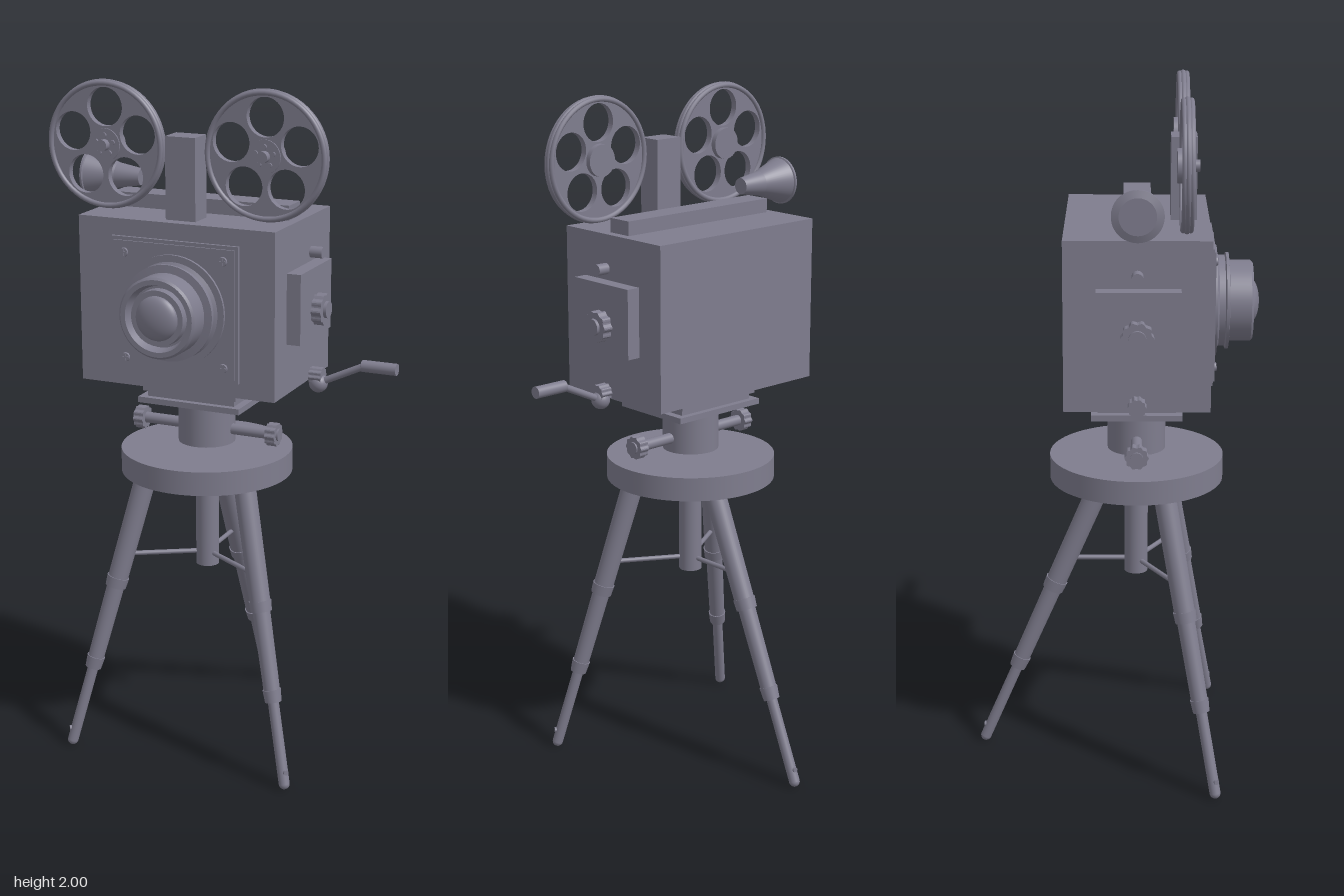
import * as THREE from 'three';

const material = new THREE.MeshStandardMaterial({ color: 0x7f7d8e });
const V = (x, y, z) => new THREE.Vector3(x, y, z);

function add(parent, name, geometry, x = 0, y = 0, z = 0) {
  const mesh = new THREE.Mesh(geometry, material);
  mesh.name = name;
  mesh.position.set(x, y, z);
  parent.add(mesh);
  return mesh;
}

const box = (parent, name, w, h, d, x, y, z) => add(parent, name, new THREE.BoxGeometry(w, h, d), x, y, z);

// Cylinder running from point a to point b
function rod(parent, name, a, b, ra, rb = ra, sides = 32) {
  const dir = b.clone().sub(a);
  const mesh = add(parent, name, new THREE.CylinderGeometry(rb, ra, dir.length(), sides));
  mesh.position.copy(a).add(b).multiplyScalar(0.5);
  mesh.quaternion.setFromUnitVectors(V(0, 1, 0), dir.normalize());
  return mesh;
}

// Turned part with crisp steps: each pair of [radius, height] points becomes its own band
function turned(parent, name, points) {
  const group = new THREE.Group();
  group.name = name;
  for (let i = 0; i < points.length - 1; i++) {
    const pair = [points[i], points[i + 1]].map(p => new THREE.Vector2(...p));
    add(group, name + 'Band', new THREE.LatheGeometry(pair, 48));
  }
  parent.add(group);
  return group;
}

// Fluted grip, axis along x
function flutedKnob(parent, name, x, y, z, radius, width) {
  const shape = new THREE.Shape();
  for (let i = 0; i < 64; i++) {
    const a = i / 64 * Math.PI * 2;
    const r = radius * (0.94 + 0.06 * Math.cos(a * 10));
    shape[i ? 'lineTo' : 'moveTo'](r * Math.cos(a), r * Math.sin(a));
  }
  const geometry = new THREE.ExtrudeGeometry(shape, { depth: width, bevelEnabled: false });
  geometry.translate(0, 0, -width / 2).rotateY(Math.PI / 2);
  return add(parent, name, geometry, x, y, z);
}

// Film reel facing z: pierced disc, ridged rim, hub and bolts
function makeReel(x) {
  const reel = new THREE.Group();
  reel.name = 'filmReel';
  reel.position.set(x, 1.82, 0.13);
  const disc = new THREE.Shape().absarc(0, 0, 0.17, 0, Math.PI * 2);
  for (let i = 0; i < 5; i++) {
    const a = Math.PI / 2 + i * Math.PI * 2 / 5;
    disc.holes.push(new THREE.Path().absarc(0.105 * Math.cos(a), 0.105 * Math.sin(a), 0.054, 0, Math.PI * 2, true));
    const bx = 0.027 * Math.cos(a), by = 0.027 * Math.sin(a);
    rod(reel, 'hubBolt', V(bx, by, 0.012), V(bx, by, 0.02), 0.007, 0.007, 12);
  }
  const web = new THREE.ExtrudeGeometry(disc, { depth: 0.02, bevelEnabled: false, curveSegments: 32 });
  add(reel, 'reelWeb', web, 0, 0, -0.01);
  for (const z of [-0.01, 0.01]) {
    add(reel, 'reelFlange', new THREE.TorusGeometry(0.17, 0.0075, 10, 64), 0, 0, z);
  }
  add(reel, 'reelRidge', new THREE.TorusGeometry(0.172, 0.008, 10, 64));
  rod(reel, 'reelHub', V(0, 0, -0.026), V(0, 0, 0.014), 0.046);
  rod(reel, 'reelSpindle', V(0, 0, 0), V(0, 0, 0.034), 0.016);
  return reel;
}

// Three-stage leg with collars, a rounded foot and a small foot bolt
function makeLeg(top, foot) {
  const leg = new THREE.Group();
  leg.name = 'tripodLeg';
  const at = y => top.clone().lerp(foot, (top.y - y) / (top.y - foot.y));
  rod(leg, 'upperSection', at(0.88), at(0.53), 0.032, 0.03);
  rod(leg, 'upperCollar', at(0.535), at(0.505), 0.033, 0.031);
  rod(leg, 'middleSection', at(0.51), at(0.28), 0.026, 0.024);
  rod(leg, 'lowerCollar', at(0.285), at(0.25), 0.027, 0.024);
  rod(leg, 'lowerSection', at(0.26), foot, 0.016);
  add(leg, 'footTip', new THREE.SphereGeometry(0.016, 20, 12)).position.copy(foot);
  const outward = V(foot.x, 0, foot.z).setLength(0.02);
  rod(leg, 'footBolt', at(0.055), at(0.055).add(outward), 0.008, 0.008, 12);
  rod(leg, 'spreader', V(0, 0.605, 0), at(0.605), 0.007, 0.007, 12);
  return leg;
}

export function createModel() {
  const model = new THREE.Group();
  model.name = 'movieCamera';
  const rig = new THREE.Group();
  rig.name = 'cameraAndTripod';
  rig.position.set(-0.08, 0, 0.063);
  model.add(rig);

  // Camera body and front plate
  box(rig, 'body', 0.594, 0.475, 0.4, 0, 1.3925, 0);
  box(rig, 'frontPlateBase', 0.385, 0.385, 0.012, 0, 1.39, 0.203);
  box(rig, 'frontPlate', 0.365, 0.365, 0.012, 0, 1.39, 0.208);
  for (const x of [-0.15, 0.15]) {
    for (const y of [1.24, 1.54]) {
      rod(rig, 'plateScrew', V(x, y, 0.21), V(x, y, 0.219), 0.014, 0.012, 16);
      box(rig, 'screwCross', 0.02, 0.004, 0.003, x, y, 0.2195);
      box(rig, 'screwCross', 0.004, 0.02, 0.003, x, y, 0.2195);
    }
  }

  // Stepped lens barrel with recessed mouth and glass dome
  const lens = turned(rig, 'lensBarrel', [
    [0.156, 0.2], [0.156, 0.222], [0.137, 0.222], [0.128, 0.228], [0.128, 0.245], [0.136, 0.248],
    [0.136, 0.256], [0.114, 0.258], [0.114, 0.318], [0.108, 0.324], [0.094, 0.324],
    [0.086, 0.296], [0.08, 0.296], [0.078, 0.318], [0.062, 0.318], [0, 0.318],
  ]);
  lens.position.y = 1.39;
  lens.rotation.x = Math.PI / 2;
  const glass = add(rig, 'lensGlass', new THREE.SphereGeometry(0.063, 32, 12, 0, Math.PI * 2, 0, Math.PI / 2), 0, 1.39, 0.317);
  glass.rotation.x = Math.PI / 2;
  glass.scale.y = 0.42;

  // Side panels, knobs and tilt handles, mirrored
  for (const s of [-1, 1]) {
    box(rig, 'sidePanel', 0.042, 0.2, 0.228, s * 0.317, 1.4, 0.003);
    flutedKnob(rig, 'panelKnob', s * 0.352, 1.38, 0, 0.045, 0.03);
    rod(rig, 'panelKnobCap', V(s * 0.36, 1.38, 0), V(s * 0.376, 1.38, 0), 0.024);
    rod(rig, 'upperButton', V(s * 0.321, 1.54, 0), V(s * 0.357, 1.54, 0), 0.016);
    flutedKnob(rig, 'lowerKnob', s * 0.343, 1.185, 0, 0.026, 0.036);
    flutedKnob(rig, 'panLockKnob', s * 0.21, 0.995, 0, 0.034, 0.03);
    rod(rig, 'panLockCap', V(s * 0.22, 0.995, 0), V(s * 0.23, 0.995, 0), 0.018);
  }
  rod(rig, 'panLockBar', V(-0.2, 0.995, 0), V(0.2, 0.995, 0), 0.016);

  // Hand crank
  add(rig, 'crankJoint', new THREE.SphereGeometry(0.027, 24, 16), 0.347, 1.165, 0);
  rod(rig, 'crankArm', V(0.347, 1.165, 0), V(0.48, 1.228, 0), 0.01);
  add(rig, 'crankElbow', new THREE.SphereGeometry(0.011, 16, 12), 0.48, 1.228, 0);
  rod(rig, 'crankGrip', V(0.478, 1.23, 0), V(0.58, 1.23, 0), 0.017);

  // Viewfinder rail with flared eyepiece
  box(rig, 'topRail', 0.54, 0.042, 0.078, 0, 1.65, 0);
  const eyepiece = turned(rig, 'eyepiece', [
    [0, 0], [0.024, 0], [0.036, 0.072], [0.066, 0.156], [0.07, 0.158], [0.07, 0.164], [0.05, 0.17], [0, 0.17],
  ]);
  eyepiece.position.set(-0.2, 1.71, 0);
  eyepiece.rotation.z = Math.PI / 2;

  // Reels and their post
  box(rig, 'reelPost', 0.09, 0.23, 0.072, 0, 1.745, 0.128);
  for (const s of [-1, 1]) rig.add(makeReel(s * 0.241));

  // Mounting head
  box(rig, 'mountBlock', 0.29, 0.04, 0.244, 0, 1.137, 0);
  box(rig, 'mountSpacer', 0.27, 0.03, 0.22, 0, 1.107, 0);
  box(rig, 'mountPlate', 0.316, 0.017, 0.256, 0, 1.09, 0);
  rod(rig, 'headColumn', V(0, 0.953, 0), V(0, 1.085, 0), 0.083);

  // Tripod
  rod(rig, 'tripodTable', V(0, 0.865, 0), V(0, 0.935, 0), 0.25, 0.25, 64);
  rod(rig, 'tripodCollar', V(0, 0.838, 0), V(0, 0.87, 0), 0.125, 0.125, 48);
  rod(rig, 'centrePost', V(0, 0.567, 0), V(0, 0.85, 0), 0.034);
  for (const s of [-1, 1]) {
    rig.add(makeLeg(V(s * 0.155, 0.86, 0.08), V(s * 0.347, 0.017, 0.229)));
  }
  rig.add(makeLeg(V(0, 0.86, -0.095), V(0, 0.017, -0.455)));

  return model;
}
